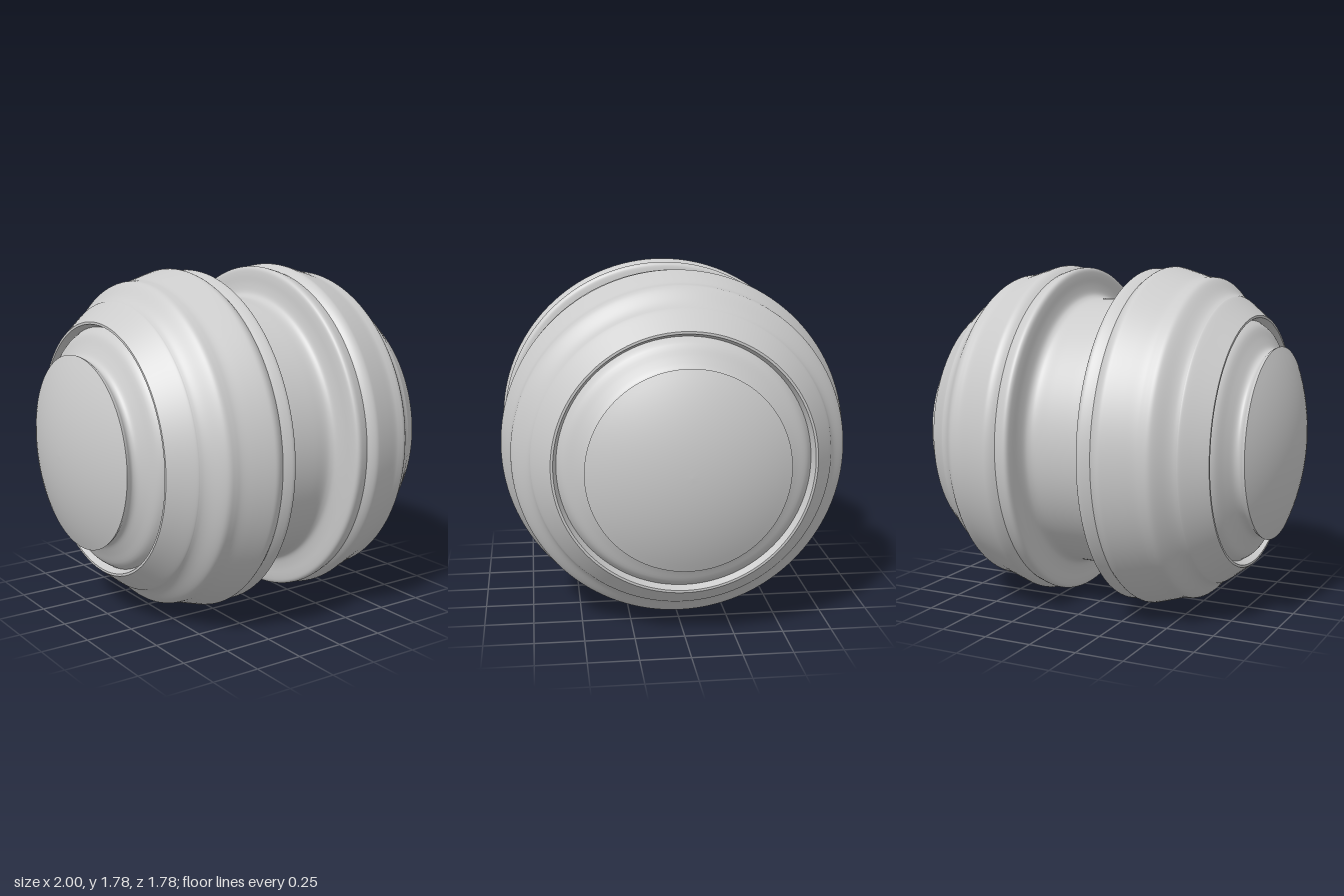
import * as THREE from 'three';

const RADIUS = 0.892;
const material = new THREE.MeshStandardMaterial({ color: 0xcccccc });

// Smooth surface of revolution through [distance along axis, radius] points
function ring(name, points, steps = 4) {
  const curve = new THREE.SplineCurve(points.map(([along, r]) => new THREE.Vector2(r, along)));
  const profile = curve.getPoints((points.length - 1) * steps);
  const mesh = new THREE.Mesh(new THREE.LatheGeometry(profile, 128), material);
  mesh.name = name;
  return mesh;
}

// Shallow spherical end cap
function dome(edgeAlong, edgeRadius) {
  const rise = 1 - edgeAlong;
  const R = (edgeRadius ** 2 + rise ** 2) / (2 * rise);
  const maxAngle = Math.asin(edgeRadius / R);
  const points = [];
  for (let i = 0; i <= 12; i++) {
    const a = maxAngle * (1 - i / 12);
    points.push([1 - R + R * Math.cos(a), R * Math.sin(a)]);
  }
  return ring('endCap', points, 1);
}

function createHalf(name) {
  const half = new THREE.Group();
  half.name = name;
  half.add(
    // Central waist, fillet and rounded inner flange
    ring('waist', [[0, 0.718], [0.06, 0.718], [0.12, 0.718], [0.15, 0.727], [0.168, 0.747],
      [0.178, 0.79], [0.183, 0.84], [0.19, 0.871], [0.207, 0.882], [0.235, 0.877], [0.262, 0.868]]),
    // Widest band with its stepped shoulder
    ring('mainBand', [[0.262, 0.868], [0.285, 0.884], [0.31, 0.892], [0.34, 0.886], [0.41, 0.865],
      [0.475, 0.845], [0.51, 0.841], [0.54, 0.837], [0.565, 0.82], [0.605, 0.777], [0.63, 0.756], [0.65, 0.746]]),
    // Outer sloping band
    ring('outerBand', [[0.65, 0.746], [0.665, 0.738], [0.72, 0.694], [0.775, 0.65]]),
    // Rim lip turning inward
    ring('rimLip', [[0.775, 0.65], [0.775, 0.638]], 1),
    ring('rimWall', [[0.775, 0.638], [0.735, 0.622]], 1),
    // Recessed neck under the cap
    ring('neck', [[0.735, 0.622], [0.775, 0.592], [0.805, 0.535], [0.83, 0.492], [0.85, 0.478],
      [0.866, 0.48], [0.88, 0.49], [0.893, 0.495]]),
    dome(0.893, 0.495)
  );
  half.rotation.z = -Math.PI / 2;
  return half;
}

export function createModel() {
  const model = new THREE.Group();
  model.name = 'roller';
  const left = createHalf('leftHalf');
  const right = createHalf('rightHalf');
  right.rotation.z = Math.PI / 2;
  model.add(left, right);
  left.position.y = right.position.y = RADIUS;
  return model;
}
